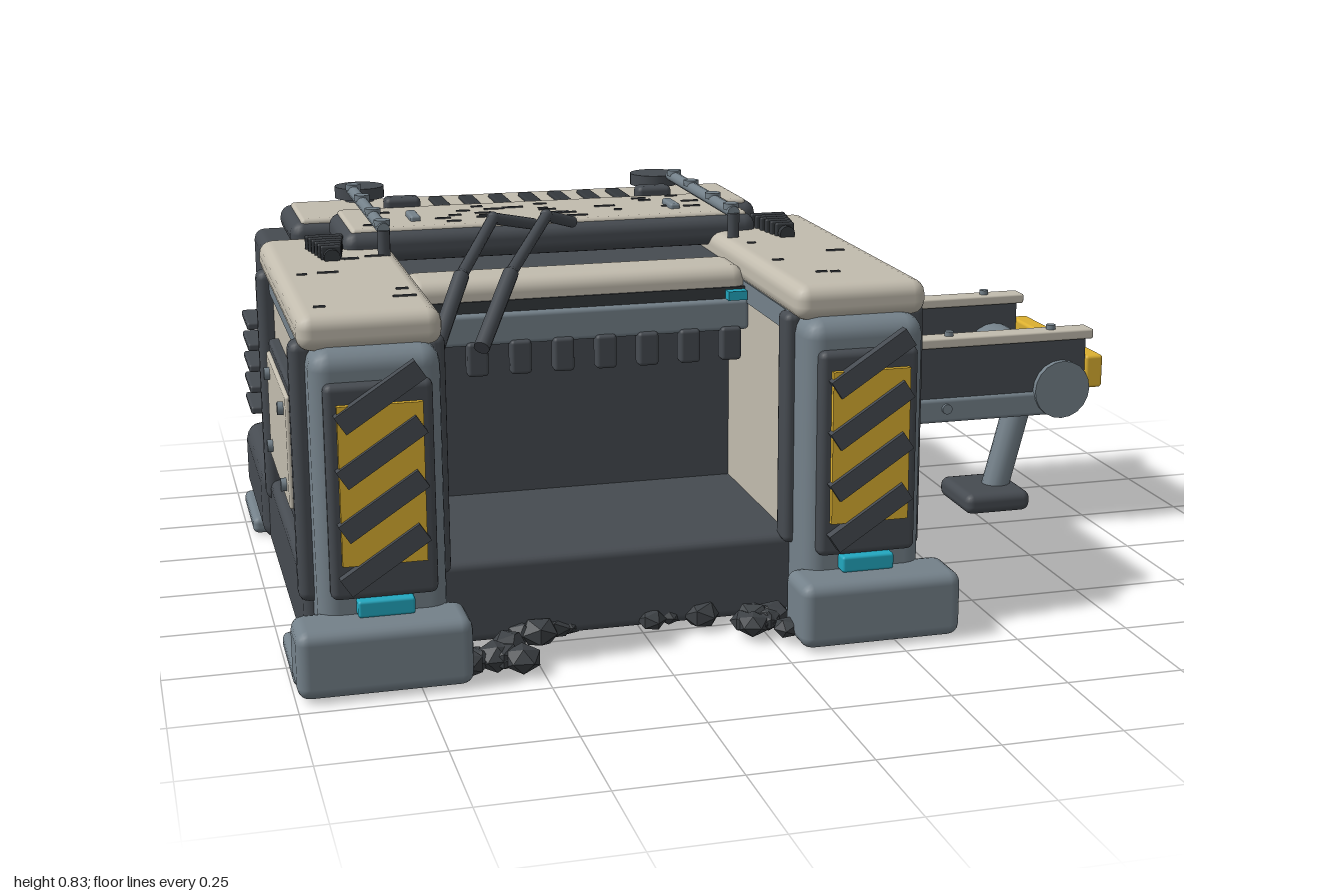
import * as THREE from 'three';
import { RoundedBoxGeometry } from 'three/addons/geometries/RoundedBoxGeometry.js';

const mat = (color) => new THREE.MeshStandardMaterial({ color });
const CREAM = mat(0xc2bcae), DARK = mat(0x464b51), BLACK = mat(0x34383c);
const GREY = mat(0x74818a), YELLOW = mat(0xdcb030), CYAN = mat(0x22a8c0);
const CX = -0.305; // middle of the main body

export function createModel() {
  const model = new THREE.Group();
  let seed = 7;
  const rand = () => (seed = (seed * 16807) % 2147483647) / 2147483647;

  const add = (name, geometry, material, x, y, z) => {
    const m = new THREE.Mesh(geometry, material);
    m.name = name;
    m.position.set(x, y, z);
    model.add(m);
    return m;
  };
  // box given by its extents; r is the edge radius
  const box = (name, material, [x0, x1], [y0, y1], [z0, z1], r = 0) => {
    const w = Math.abs(x1 - x0), h = y1 - y0, d = z1 - z0;
    const g = r ? new RoundedBoxGeometry(w, h, d, 2, Math.min(r, w / 2.01, h / 2.01, d / 2.01))
      : new THREE.BoxGeometry(w, h, d);
    return add(name, g, material, (x0 + x1) / 2, (y0 + y1) / 2, (z0 + z1) / 2);
  };
  const disc = (name, material, r, h, x, y, z, axis = 'y') => {
    const m = add(name, new THREE.CylinderGeometry(r, r, h, 20), material, x, y, z);
    if (axis === 'x') m.rotation.z = Math.PI / 2;
    if (axis === 'z') m.rotation.x = Math.PI / 2;
    return m;
  };
  const rod = (name, material, a, b, r) => {
    const p = new THREE.Vector3(...a), q = new THREE.Vector3(...b), d = q.clone().sub(p);
    const mid = p.clone().add(q).multiplyScalar(0.5);
    const m = add(name, new THREE.CylinderGeometry(r, r, d.length(), 12), material, mid.x, mid.y, mid.z);
    m.quaternion.setFromUnitVectors(new THREE.Vector3(0, 1, 0), d.normalize());
    return m;
  };

  // base, rear block and middle housing
  box('base', DARK, [-0.96, 0.35], [0.035, 0.215], [-0.5, 0.51], 0.02);
  box('rearBase', DARK, [-0.975, 0.365], [0.04, 0.22], [-0.72, -0.25], 0.04);
  box('rearBlock', DARK, [-0.935, 0.325], [0.2, 0.72], [-0.665, -0.26], 0.025);
  box('middleHousing', DARK, [-0.69, 0.08], [0.2, 0.72], [-0.3, 0.05]);

  // rear and middle roof panels
  box('rearRoof', DARK, [-0.87, 0.27], [0.71, 0.775], [-0.675, -0.38], 0.03);
  box('rearRoofPanel', CREAM, [-0.845, 0.245], [0.74, 0.782], [-0.645, -0.395], 0.01);
  for (let i = 0; i < 8; i++) {
    const x = -0.57 + i * 0.0745;
    box('ventSlot', BLACK, [x - 0.018, x + 0.018], [0.77, 0.79], [-0.59, -0.46], 0.005);
  }
  box('middleRoof', DARK, [-0.785, 0.175], [0.73, 0.802], [-0.375, -0.07], 0.03);
  box('middleRoofPanel', CREAM, [-0.765, 0.155], [0.77, 0.808], [-0.36, -0.09], 0.01);

  // lintel with hanging teeth over the bay
  box('lintelCap', CREAM, [-0.68, 0.07], [0.66, 0.735], [0.04, 0.19], 0.03);
  box('lintelShadow', BLACK, [-0.68, 0.07], [0.645, 0.69], [0.05, 0.195]);
  box('lintelFront', GREY, [-0.68, 0.07], [0.595, 0.665], [0.05, 0.21], 0.01);
  for (let i = 0; i < 8; i++) {
    const x = -0.635 + i * 0.0945;
    box('tooth', DARK, [x - 0.023, x + 0.023], [0.53, 0.605], [0.185, 0.222], 0.008);
  }

  for (const s of [-1, 1]) {
    const X = (a, b) => [CX + s * a, CX + s * b];
    // side wall, roof cap and corner posts
    box('sideWall', CREAM, X(0.375, 0.63), [0.2, 0.7], [-0.25, 0.5]);
    box('wallTopTrim', GREY, X(0.37, 0.638), [0.655, 0.7], [-0.24, 0.5]);
    box('wallFrontTrim', GREY, X(0.5, 0.638), [0.2, 0.7], [0.4, 0.5]);
    box('wallRearTrim', GREY, X(0.4, 0.645), [0.2, 0.71], [-0.3, -0.23], 0.01);
    box('roofCap', CREAM, X(0.365, 0.652), [0.69, 0.765], [-0.265, 0.58], 0.03);
    box('frontPillar', GREY, X(0.375, 0.635), [0.06, 0.7], [0.42, 0.62], 0.04);
    box('outerFrontPost', DARK, X(0.615, 0.665), [0.165, 0.705], [0.475, 0.535], 0.02);
    box('outerRearPost', DARK, X(0.615, 0.665), [0.165, 0.705], [-0.24, -0.18], 0.02);
    box('innerPost', DARK, X(0.355, 0.39), [0.2, 0.7], [0.475, 0.535], 0.015);
    // bolted access plate
    box('plateFrame', DARK, X(0.62, 0.652), [0.28, 0.57], [-0.1, 0.37], 0.008);
    box('accessPlate', CREAM, X(0.63, 0.66), [0.305, 0.548], [-0.075, 0.345], 0.006);
    for (const y of [0.345, 0.51]) for (const z of [-0.015, 0.29])
      disc('plateBolt', GREY, 0.014, 0.02, CX + s * 0.662, y, z, 'x');
    for (let i = 0; i < 5; i++) {
      const y = 0.36 + i * 0.05;
      box('coolingFin', DARK, X(0.6, 0.685), [y - 0.009, y + 0.009], [-0.42, -0.27], 0.006);
    }
    // feet and ground pads
    box('frontFoot', GREY, X(0.342, 0.692), [0.025, 0.165], [0.58, 0.715], 0.025);
    box('footPad', GREY, X(0.37, 0.692), [0.02, 0.06], [0.39, 0.62], 0.015);
    box('rearPad', GREY, X(0.39, 0.685), [0.02, 0.06], [-0.64, -0.39], 0.015);
    // hazard panel with diagonal stripes
    const px = CX + s * 0.505;
    box('hazardFrame', DARK, [px - 0.107, px + 0.107], [0.2, 0.64], [0.6, 0.64], 0.015);
    box('hazardPanel', YELLOW, [px - 0.084, px + 0.084], [0.275, 0.6], [0.63, 0.652]);
    for (let i = 0; i < 4; i++) {
      const y = 0.285 + i * 0.11;
      const stripe = box('hazardStripe', DARK, [px - 0.095, px + 0.095], [y - 0.021, y + 0.021], [0.64, 0.662]);
      stripe.rotation.z = 0.58;
    }
    box('statusLight', CYAN, [px - 0.057, px + 0.057], [0.165, 0.2], [0.61, 0.65], 0.006);
    box('bayLight', CYAN, X(0.325, 0.368), [0.665, 0.685], [0.17, 0.22]);

    // roof rods, discs and brackets
    const rx = CX + s * 0.4, kx = CX + s * 0.305;
    rod('roofRod', GREY, [rx, 0.822, 0.005], [rx, 0.822, -0.55], 0.014);
    for (const z of [-0.02, -0.17, -0.36, -0.52]) disc('rodCollar', GREY, 0.018, 0.014, rx, 0.833, z);
    disc('roofDisc', DARK, 0.06, 0.028, CX + s * 0.373, 0.805, -0.62);
    disc('discStem', DARK, 0.035, 0.04, CX + s * 0.373, 0.785, -0.62);
    rod('rodFoot', DARK, [rx, 0.74, 0], [rx, 0.82, 0], 0.014);
    box('roofBracket', DARK, [kx - 0.042, kx + 0.042], [0.79, 0.83], [-0.395, -0.345], 0.012);
    box('roofHandle', GREY, [kx - 0.012, kx + 0.012], [0.8, 0.82], [-0.24, -0.155], 0.006);
    // ribbed fitting on each roof cap
    const fx = CX + s * 0.518;
    rod('fittingCore', BLACK, [fx, 0.772, -0.13], [fx, 0.772, 0.04], 0.018);
    for (let i = 0; i < 6; i++) {
      const w = 0.042 - i * 0.004, z = -0.115 + i * 0.026;
      box('fittingRib', BLACK, [fx - w, fx + w], [0.755, 0.795], [z - 0.008, z + 0.008], 0.004);
    }
  }

  // pair of bent hoses from the roof into the bay
  for (const [a, b, c] of [[-0.665, -0.465, -0.36], [-0.57, -0.345, -0.27]]) {
    const pts = [[a, 0.645, 0.43], [a + (b - a) * 0.42, 0.765, 0.27], [b, 0.838, 0.02], [c, 0.808, -0.05]];
    for (let i = 0; i < 3; i++) rod('hose', DARK, pts[i], pts[i + 1], i ? 0.013 : 0.017);
    for (const p of pts.slice(1, 3)) add('hoseJoint', new THREE.SphereGeometry(0.015, 12, 8), DARK, ...p);
  }

  // conveyor on the model's left side
  for (const [z, outer] of [[-0.355, -1], [0.055, 1]]) {
    box('conveyorRail', DARK, [0.3, 0.955], [0.34, 0.495], [z - 0.015, z + 0.015]);
    box('railCap', CREAM, [0.27, 0.97], [0.488, 0.512], [z - 0.027, z + 0.027], 0.005);
    box('railSkirt', GREY, [0.3, 0.9], [0.305, 0.365], [z - 0.022, z + 0.022], 0.01);
    for (const x of [0.41, 0.61, 0.87]) {
      disc('railBolt', GREY, 0.011, 0.016, x, 0.515, z);
      disc('skirtBolt', GREY, 0.012, 0.016, x - 0.01, 0.34, z + outer * 0.022, 'z');
    }
  }
  box('belt', DARK, [0.3, 0.84], [0.34, 0.395], [-0.34, 0.04]);
  box('conveyorUnderside', GREY, [0.33, 0.88], [0.305, 0.345], [-0.34, 0.04]);
  for (let i = 0; i < 9; i++) {
    const x = 0.345 + i * 0.057;
    box('beltSlat', BLACK, [x - 0.006, x + 0.006], [0.39, 0.415], [-0.32, 0.02]);
  }
  for (const z of [-0.32, 0.02]) box('beltEdge', GREY, [0.3, 0.85], [0.39, 0.41], [z - 0.015, z + 0.015]);
  disc('endDrum', GREY, 0.07, 0.47, 0.893, 0.368, -0.15, 'z');
  box('endBumper', YELLOW, [0.955, 1], [0.365, 0.445], [-0.375, 0.077], 0.008);
  for (const [top, bottom, foot] of [[0.485, 0.425, 0.405], [0.895, 0.825, 0.805]]) {
    rod('conveyorLeg', GREY, [top, 0.32, -0.15], [bottom, 0.05, -0.15], 0.034);
    box('legFoot', DARK, [foot - 0.088, foot + 0.082], [0.022, 0.073], [-0.245, -0.055], 0.02);
  }

  // scuffs on the roof panels
  const scuffs = (n, [x0, x1], y, [z0, z1]) => {
    for (let i = 0; i < n; i++) {
      const x = x0 + rand() * (x1 - x0), z = z0 + rand() * (z1 - z0), w = 0.008 + rand() * 0.018;
      box('scuff', DARK, [x - w, x + w], [y - 0.004, y + 0.003], [z - 0.004, z + 0.004]);
    }
  };
  scuffs(26, [-0.72, 0.11], 0.808, [-0.34, -0.11]);
  scuffs(8, [-0.92, -0.7], 0.765, [-0.05, 0.5]);
  scuffs(5, [0.11, 0.32], 0.765, [-0.05, 0.5]);

  // rubble in front of and beneath the base
  const rubble = (n, [x0, x1], [z0, z1], y, r) => {
    for (let i = 0; i < n; i++) {
      const size = r * (0.6 + rand() * 0.5);
      const rock = add('rubble', new THREE.IcosahedronGeometry(size, 0), BLACK,
        x0 + rand() * (x1 - x0), y, z0 + rand() * (z1 - z0));
      rock.material = ROCK;
      rock.scale.y = 0.75;
      rock.rotation.y = rand() * 6;
    }
  };
  const ROCK = new THREE.MeshStandardMaterial({ color: 0x3d4145, flatShading: true });
  rubble(9, [-0.66, -0.54], [0.56, 0.66], 0.05, 0.04);
  rubble(9, [-0.07, 0.03], [0.53, 0.63], 0.05, 0.04);
  rubble(12, [-0.55, -0.08], [0.46, 0.52], 0.05, 0.04);
  rubble(30, [-0.85, 0.25], [-0.35, 0.45], 0.036, 0.026);

  return model;
}
